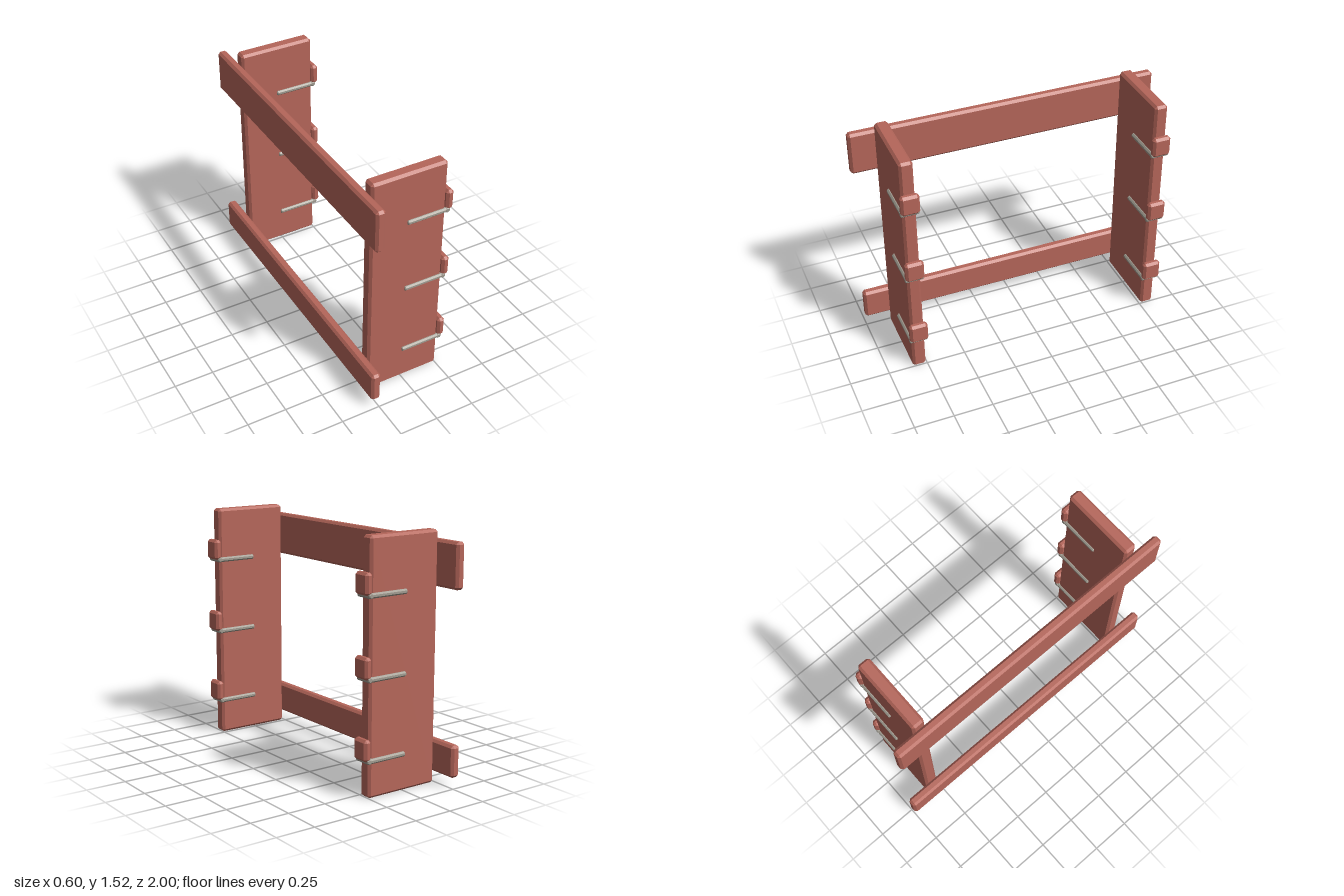
import * as THREE from 'three';
import { ConvexGeometry } from 'three/addons/geometries/ConvexGeometry.js';

const wood = new THREE.MeshStandardMaterial({ color: 0xb5665a });
wood.name = 'red wood';
const steel = new THREE.MeshStandardMaterial({ color: 0xa09b90 });
steel.name = 'grey steel';

// Box with chamfered edges and corners, given by its min and max corners
function board(name, min, max, bevel = 0.015) {
  const half = max.map((v, i) => (v - min[i]) / 2);
  const points = [];
  for (const sx of [-1, 1]) for (const sy of [-1, 1]) for (const sz of [-1, 1]) {
    for (let axis = 0; axis < 3; axis++) {
      const p = half.map((h, i) => (i === axis ? h : h - bevel));
      points.push(new THREE.Vector3(p[0] * sx, p[1] * sy, p[2] * sz));
    }
  }
  const mesh = new THREE.Mesh(new ConvexGeometry(points), wood);
  mesh.name = name;
  mesh.position.set(...max.map((v, i) => (v + min[i]) / 2));
  return mesh;
}

// Octagonal rod with chamfered ends, lying along x or z
function rod(name, length, axis, x, y, z) {
  const r = 0.0165, c = 0.005, h = length / 2;
  const profile = [[0, -h], [r - c, -h], [r, -h + c], [r, h - c], [r - c, h], [0, h]]
    .map(([a, b]) => new THREE.Vector2(a, b));
  const geometry = new THREE.LatheGeometry(profile, 8, Math.PI / 8).toNonIndexed();
  geometry.computeVertexNormals();
  if (axis === 'x') geometry.rotateZ(Math.PI / 2);
  else geometry.rotateX(Math.PI / 2);
  const mesh = new THREE.Mesh(geometry, steel);
  mesh.name = name;
  mesh.position.set(x, y, z);
  return mesh;
}

export function createModel() {
  const group = new THREE.Group();
  group.name = 'rackFrame';

  // Long rails joining the two uprights at the back
  group.add(board('upperRail', [-0.3, 1.185, -1], [-0.24, 1.46, 1]));
  group.add(board('lowerRail', [-0.3, 0.065, -1], [-0.24, 0.262, 1]));

  for (const side of [-1, 1]) {
    const z = side * 0.8;
    const upright = new THREE.Group();
    upright.name = side > 0 ? 'frontUpright' : 'rearUpright';
    upright.add(board('panel', [-0.238, 0, z - 0.042], [0.254, 1.52, z + 0.042]));

    // Three U-shaped brackets, each with a stop block above its crossbar
    for (const y of [0.227, 0.707, 1.187]) {
      const bracket = new THREE.Group();
      bracket.name = 'bracket';
      bracket.add(board('stopBlock', [0.248, y + 0.002, z - 0.058], [0.296, y + 0.131, z + 0.058]));
      for (const s of [-1, 1]) bracket.add(rod('bracketArm', 0.275, 'x', 0.135, y, z + s * 0.041));
      bracket.add(rod('bracketCrossbar', 0.115, 'z', 0.26, y, z));
      upright.add(bracket);
    }
    group.add(upright);
  }
  return group;
}
